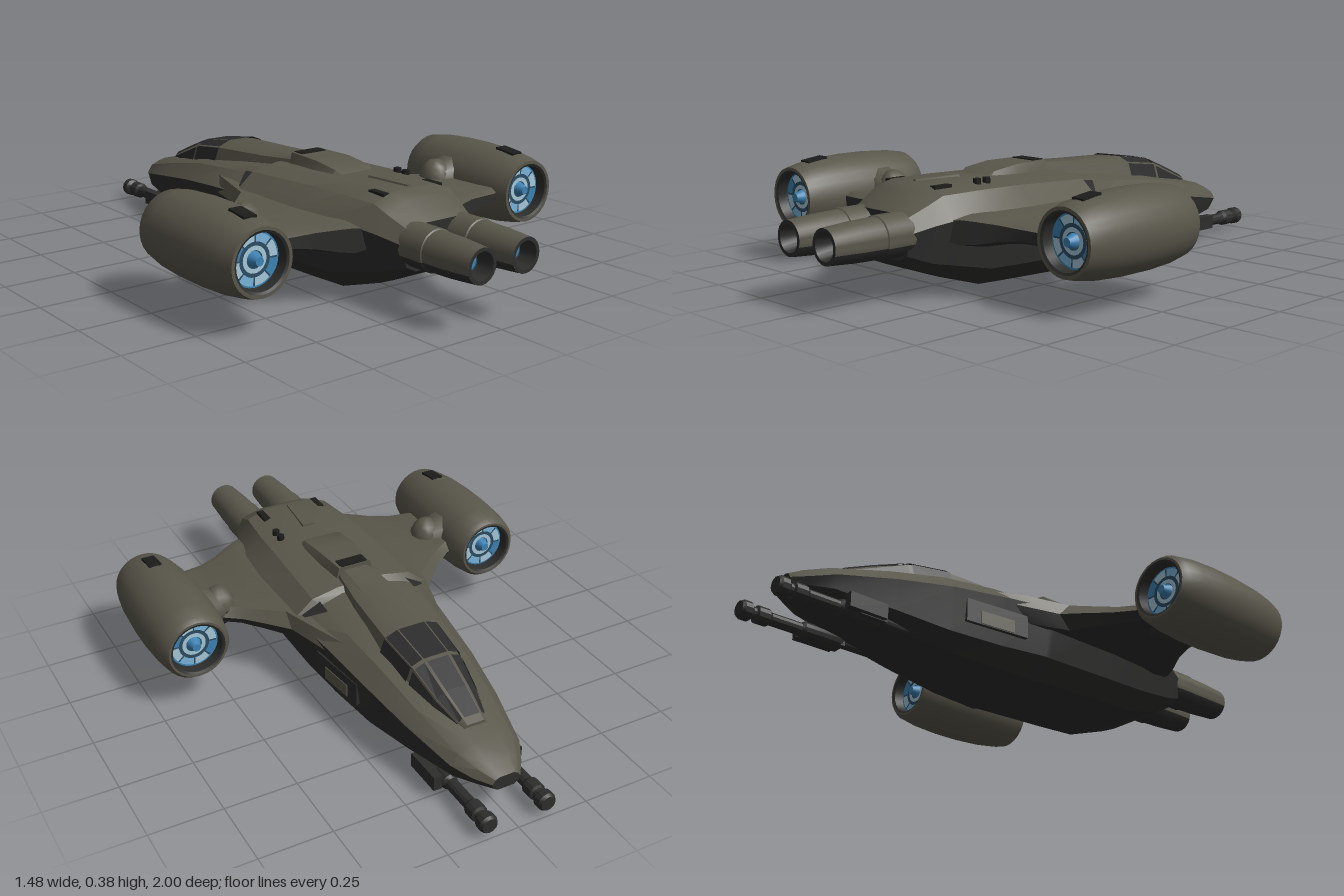
import * as THREE from 'three';
import { toCreasedNormals } from 'three/addons/utils/BufferGeometryUtils.js';

const mat = (name, color, side = THREE.FrontSide) => {
  const m = new THREE.MeshStandardMaterial({ color, side });
  m.name = name;
  return m;
};

export function createModel() {
  const hull = mat('olive hull', 0x59564a);
  const darkHull = mat('dark underside', 0x2d2d2c);
  const glass = mat('dark glass', 0x2b2b2b, THREE.DoubleSide);
  const black = mat('black recess', 0x1c1c1b);
  const slate = mat('slate blue', 0x2c4c62);
  const midBlue = mat('bright blue', 0x3c82b4);
  const skyBlue = mat('sky blue', 0x7ab4da);
  const paleBlue = mat('pale blue', 0xa6c8d8);
  const ship = new THREE.Group();
  ship.name = 'ship';

  const add = (name, geo, material, x = 0, y = 0, z = 0, parent = ship) => {
    const m = new THREE.Mesh(geo, material);
    m.name = name;
    m.position.set(x, y, z);
    parent.add(m);
    return m;
  };
  const box = (name, w, h, d, material, x, y, z, parent) =>
    add(name, new THREE.BoxGeometry(w, h, d), material, x, y, z, parent);

  // Closed, outward-facing skin over a row of rings; strips chosen by isDark use the second material
  const loft = (name, rings, isDark = () => false, darkCaps = false) => {
    const skins = [[], []], n = rings[0].length;
    for (let i = 0; i < rings.length - 1; i++)
      for (let j = 0; j < n; j++) {
        const k = (j + 1) % n, a = rings[i], b = rings[i + 1];
        skins[isDark(j) ? 1 : 0].push([a[j], b[j], a[k]], [a[k], b[j], b[k]]);
      }
    const first = rings[0], last = rings[rings.length - 1];
    for (let j = 1; j < n - 1; j++)
      skins[darkCaps ? 1 : 0].push([first[0], first[j], first[j + 1]], [last[0], last[j + 1], last[j]]);
    const tris = skins.flat();
    let volume = 0;
    for (const [a, b, c] of tris)
      volume += new THREE.Vector3(...a).dot(new THREE.Vector3(...b).cross(new THREE.Vector3(...c)));
    if (volume < 0) tris.forEach(t => t.reverse());
    const g = new THREE.BufferGeometry();
    g.setAttribute('position', new THREE.Float32BufferAttribute(tris.flat(2), 3));
    const smooth = toCreasedNormals(g, 0.45);
    smooth.clearGroups();
    smooth.addGroup(0, skins[0].length * 3, 0);
    if (skins[1].length) smooth.addGroup(skins[0].length * 3, skins[1].length * 3, 1);
    return add(name, smooth, [hull, darkHull]);
  };
  // Symmetric ring from [z, x, y, x, y, ...] listed bottom to top
  const ring = ([z, ...v]) => {
    const half = [];
    for (let i = 0; i < v.length; i += 2) half.push([v[i], v[i + 1], z]);
    return [...half, ...half.map(([x, y]) => [-x, y, z]).reverse()];
  };
  // Turned part lying along z, profile given as [radius, z]; angle 0 is straight down
  const turned = (profile, segments = 28, start = 0, length = Math.PI * 2) => toCreasedNormals(
    new THREE.LatheGeometry(profile.map(p => new THREE.Vector2(...p)), segments, start, length)
      .rotateX(Math.PI / 2), 0.5);
  // Thin plate on a quad a-b-c-d, inset by u along a-b and from v0 to v1 along a-d, lifted off the surface
  const plate = (name, corners, material, u, v0, v1) => {
    const [a, b, c, d] = corners.map(p => new THREE.Vector3(...p));
    const at = (s, t) => a.clone().lerp(b, s).lerp(d.clone().lerp(c, s), t);
    const normal = c.clone().sub(a).cross(d.clone().sub(b)).normalize();
    if (normal.y < 0) normal.negate();
    const q = [at(u, v0), at(1 - u, v0), at(1 - u, v1), at(u, v1)].map(p => p.addScaledVector(normal, 0.005));
    const g = new THREE.BufferGeometry().setFromPoints([q[0], q[1], q[2], q[0], q[2], q[3]]);
    g.computeVertexNormals();
    return add(name, g, material);
  };

  // Fuselage: belly, chine, shoulder, upper deck, crown; dark below the shoulder
  const fuselage = [
    [-0.92, 0.03, 0.1, 0.045, 0.11, 0.05, 0.125, 0.04, 0.14, 0.025, 0.147],
    [-0.87, 0.05, 0.09, 0.075, 0.105, 0.088, 0.13, 0.07, 0.157, 0.04, 0.17],
    [-0.8, 0.07, 0.08, 0.115, 0.1, 0.127, 0.145, 0.1, 0.178, 0.05, 0.197],
    [-0.6, 0.1, 0.045, 0.155, 0.08, 0.172, 0.18, 0.13, 0.225, 0.06, 0.245],
    [-0.4, 0.125, 0.02, 0.185, 0.06, 0.203, 0.21, 0.15, 0.265, 0.07, 0.285],
    [-0.2, 0.15, 0.005, 0.205, 0.06, 0.225, 0.23, 0.165, 0.285, 0.08, 0.305],
    [-0.02, 0.16, 0, 0.22, 0.07, 0.245, 0.245, 0.165, 0.295, 0.085, 0.32],
    [0, 0.16, 0.005, 0.22, 0.07, 0.256, 0.26, 0.19, 0.315, 0.09, 0.335],
    [0.3, 0.16, 0.015, 0.22, 0.075, 0.256, 0.262, 0.18, 0.327, 0.09, 0.348]];
  const tail = [
    [0.45, 0.155, 0.02, 0.215, 0.08, 0.245, 0.26, 0.175, 0.328, 0.09, 0.352],
    [0.6, 0.13, 0.065, 0.18, 0.11, 0.205, 0.25, 0.16, 0.325, 0.09, 0.352],
    [0.65, 0.12, 0.085, 0.17, 0.12, 0.185, 0.24, 0.15, 0.3, 0.08, 0.33],
    [0.73, 0.1, 0.13, 0.14, 0.15, 0.155, 0.22, 0.13, 0.262, 0.07, 0.278]];
  loft('fuselage', [...fuselage, ...tail].map(ring), j => j < 2 || j > 6, true);

  // Spine with the cockpit at its front end
  const spine = [
    [-0.74, 0.045, 0.19, 0.04, 0.212, 0.03, 0.222],
    [-0.62, 0.085, 0.21, 0.07, 0.255, 0.04, 0.272],
    [-0.5, 0.108, 0.235, 0.085, 0.303, 0.045, 0.319],
    [-0.34, 0.12, 0.255, 0.095, 0.325, 0.05, 0.343],
    [-0.1, 0.095, 0.28, 0.08, 0.338, 0.045, 0.353],
    [0.06, 0.07, 0.3, 0.06, 0.35, 0.04, 0.362]].map(ring);
  loft('spine', spine);
  [[0.07, 0.2, 1], [0.07, 0, 0.95], [0.02, 0.04, 1]].forEach(([u, v0, v1], i) => {
    for (let j = 0; j < 5; j++)
      plate('canopyPane', [spine[i][j], spine[i][j + 1], spine[i + 1][j + 1], spine[i + 1][j]], glass, u, v0, v1);
  });

  // Dorsal hump with its dark slot and tail ridge
  loft('dorsalHump', [
    [0.05, 0.075, 0.32, 0.06, 0.374],
    [0.2, 0.09, 0.33, 0.07, 0.373],
    [0.3, 0.092, 0.335, 0.07, 0.36],
    [0.33, 0.08, 0.335, 0.06, 0.345]].map(ring));
  box('dorsalSlot', 0.1, 0.006, 0.045, black, 0, 0.374, 0.075);
  loft('tailRidge', [
    [0.41, 0.03, 0.34, 0.022, 0.358],
    [0.58, 0.008, 0.34, 0.005, 0.357]].map(ring));
  for (const z of [0.385, 0.425])
    add('deckCap', new THREE.CylinderGeometry(0.013, 0.013, 0.03, 12), black, 0.125, 0.342, z);

  // Wing: x, leading z, trailing z, low y, high y
  const wing = [
    [0.16, -0.36, 0.62, 0.18, 0.26], [0.225, -0.17, 0.588, 0.165, 0.268],
    [0.27, 0, 0.565, 0.17, 0.265], [0.33, 0.065, 0.53, 0.182, 0.258],
    [0.39, 0.13, 0.51, 0.19, 0.252], [0.47, 0.19, 0.5, 0.192, 0.25],
    [0.56, 0.21, 0.43, 0.195, 0.25]];
  const podProfile = [
    [0.097, -0.253], [0.105, -0.253], [0.118, -0.235], [0.129, -0.17], [0.135, -0.07],
    [0.135, 0.03], [0.129, 0.14], [0.118, 0.215], [0.108, 0.253], [0.097, 0.253]];
  const podLip = [[0.097, 0.253], [0.089, 0.249], [0.085, 0.205]];
  const nozzleProfile = [
    [0.07, -0.08], [0.07, 0.09], [0.066, 0.093], [0.066, 0.1], [0.064, 0.18], [0.057, 0.28]];
  const nozzleLip = [[0.057, 0.28], [0.045, 0.28], [0.036, 0.22], [0, 0.22]];
  const gunProfile = [
    [0, -0.5], [0.026, -0.5], [0.032, -0.49], [0.032, -0.465], [0.02, -0.455], [0.02, -0.445],
    [0.029, -0.44], [0.029, -0.4], [0.021, -0.39], [0.021, -0.28], [0.028, -0.27],
    [0.028, -0.14], [0.018, -0.12], [0.018, 0.02], [0, 0.02]];

  // Lip and glowing turbine at one end of a pod
  const bladeColours = [paleBlue, skyBlue, paleBlue, midBlue];
  const turbine = (parent, turn) => {
    const g = new THREE.Group();
    g.name = 'turbine';
    g.rotation.y = turn;
    parent.add(g);
    add('intakeLip', turned(podLip), darkHull, 0, 0, 0, g);
    add('turbineDisc', new THREE.CircleGeometry(0.088, 28), slate, 0, 0, 0.21, g);
    for (let i = 0; i < 8; i++)
      add('turbineBlade', new THREE.RingGeometry(0.054, 0.08, 4, 1, i * Math.PI / 4, 0.7),
        bladeColours[i % 4], 0, 0, 0.214, g);
    add('turbineRim', new THREE.RingGeometry(0.08, 0.087, 28), midBlue, 0, 0, 0.213, g);
    add('turbineRing', new THREE.RingGeometry(0.028, 0.042, 24), paleBlue, 0, 0, 0.214, g);
    add('turbineHub', new THREE.CylinderGeometry(0.014, 0.025, 0.03, 16).rotateX(Math.PI / 2), midBlue, 0, 0, 0.225, g);
  };

  for (const s of [1, -1]) {
    // Wing, dark along the trailing edge and underneath
    loft('wing', wing.map(([x, l, t, lo, hi]) => {
      const m = (lo + hi) / 2, e = (t - l) * 0.08;
      return [[l, m], [l + e, hi], [t - e, hi], [t, hi - 0.012], [t, lo + 0.012], [t - e, lo], [l + e, lo]]
        .map(([z, y]) => [s * x, y, z]);
    }), j => j > 2);

    // Engine pod, staggered from side to side
    const pod = new THREE.Group();
    pod.name = 'enginePod';
    pod.position.set(s * 0.604, 0.23, s > 0 ? 0.273 : 0.38);
    ship.add(pod);
    add('podShell', turned(podProfile), hull, 0, 0, 0, pod);
    turbine(pod, 0);
    turbine(pod, Math.PI);
    box('podHatch', 0.045, 0.012, 0.08, black, 0, 0.125, 0.155, pod).rotation.x = 0.12;

    // Pivot joint between wing and pod, dark below
    const jz = s > 0 ? 0.23 : 0.31;
    for (const [name, start, material] of [['pivotTop', 0, hull], ['pivotBase', Math.PI / 2, darkHull]])
      add(name, new THREE.SphereGeometry(0.058, 10, 4, 0, Math.PI * 2, start, Math.PI / 2).scale(1, 1.3, 1),
        material, s * 0.442, 0.24, jz);
    add('pivotArm', new THREE.CylinderGeometry(0.055, 0.085, 0.08, 10).rotateZ(s * Math.PI / 2), hull, s * 0.475, 0.24, jz);

    // Tail nozzle, dark below
    const nozzle = new THREE.Group();
    nozzle.name = 'tailNozzle';
    nozzle.position.set(s * 0.09, 0.213, 0.72);
    ship.add(nozzle);
    add('nozzleShell', turned(nozzleProfile, 16, 1.2, Math.PI * 2 - 2.4), hull, 0, 0, 0, nozzle);
    add('nozzleUnderside', turned(nozzleProfile, 10, -1.2, 2.4), darkHull, 0, 0, 0, nozzle);
    add('nozzleLip', turned(nozzleLip, 20), darkHull, 0, 0, 0, nozzle);
    add('nozzleGlow', new THREE.CircleGeometry(0.033, 20), slate, 0, 0, 0.225, nozzle);
    add('nozzleCore', new THREE.CircleGeometry(0.024, 16), midBlue, 0, 0, 0.229, nozzle);

    // Chin gun and its mount
    add('gun', turned(gunProfile, 12), darkHull, s * 0.105, 0.05, -0.5);
    box('gunMount', 0.03, 0.05, 0.14, darkHull, s * 0.147, 0.06, -0.7);
    box('gunBracket', 0.06, 0.045, 0.1, darkHull, s * 0.115, 0.055, -0.67);

    // Side hatch with its olive cover, intake and deck vent
    const hatch = box('sideHatch', 0.05, 0.08, 0.24, darkHull, s * 0.196, 0.145, -0.23);
    hatch.rotation.y = s * 0.11;
    box('hatchCover', 0.008, 0.045, 0.13, hull, s * 0.024, -0.015, 0, hatch);
    plate('intake', [[s * 0.165, 0.297, -0.07], [s * 0.17, 0.294, -0.07],
      [s * 0.25, 0.252, -0.006], [s * 0.165, 0.302, -0.006]], glass, 0, 0, 1);
    box('deckVent', 0.025, 0.025, 0.07, black, s * 0.11, 0.337, 0.565);
  }
  return ship;
}
